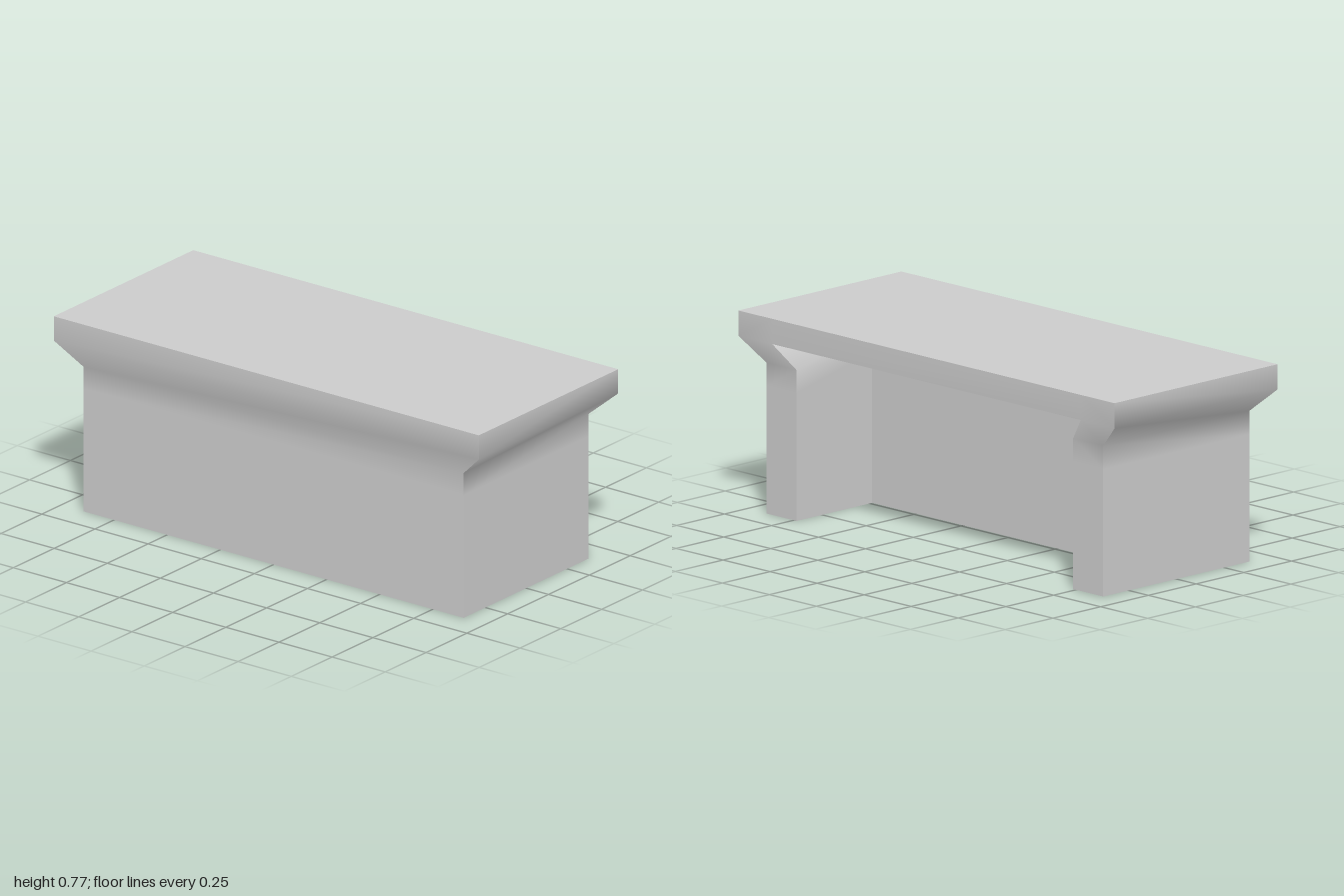
import * as THREE from 'three';
import { mergeVertices } from 'three/addons/utils/BufferGeometryUtils.js';

const material = new THREE.MeshStandardMaterial({ color: 0xcccccc });

// Wall profile from floor to top: height, half width, half depth, half width of the rear opening
const rows = [
  { y: 0, x: 0.895, z: 0.383, inner: 0.735 },
  { y: 0.49, x: 0.895, z: 0.383, inner: 0.735 },
  { y: 0.58, x: 0.895, z: 0.383, inner: 0.735 },
  { y: 0.673, x: 1, z: 0.427, inner: 0.82 },
  { y: 0.77, x: 1, z: 0.427, inner: 0.82 },
];
const recessX = 0.735, recessZ = 0.013;

// Mirrors a quad across x, keeping its outward side and its diagonal
const mirror = (quad) => {
  const [a, b, c, d] = quad.map(([x, y, z]) => [-x, y, z]);
  return [a, d, c, b];
};

// One quad per step of the profile
const strip = (profile, quad) => profile.slice(1).map((top, i) => quad(profile[i], top));

// Surface from quads, smooth inside and sharp at its border
function surface(name, quads) {
  const points = quads.flatMap(([a, b, c, d]) => [a, b, c, a, c, d]).flat();
  const raw = new THREE.BufferGeometry();
  raw.setAttribute('position', new THREE.Float32BufferAttribute(points, 3));
  const geometry = mergeVertices(raw);
  geometry.computeVertexNormals();
  const mesh = new THREE.Mesh(geometry, material);
  mesh.name = name;
  return mesh;
}

// Horizontal quad between two depths; it faces up or down
function level(y, zBack, xBack, zFront, xFront, up) {
  const q = [[-xBack, y, zBack], [xBack, y, zBack], [xFront, y, zFront], [-xFront, y, zFront]];
  return up ? q.reverse() : q;
}

export function createModel() {
  const group = new THREE.Group();
  group.name = 'counter';
  const [base, , , rim, top] = rows;
  const opening = rows.slice(0, 4);

  // Outer walls flaring out to the rim
  const front = strip(rows, (l, u) => [[-l.x, l.y, l.z], [l.x, l.y, l.z], [u.x, u.y, u.z], [-u.x, u.y, u.z]]);
  const side = strip(rows, (l, u) => [[l.x, l.y, l.z], [l.x, l.y, -l.z], [u.x, u.y, -u.z], [u.x, u.y, u.z]]);
  group.add(surface('frontPanel', front));
  group.add(surface('leftPanel', side));
  group.add(surface('rightPanel', side.map(mirror)));

  // Rear ends of the side walls, joined by the rim above the opening
  const end = strip(rows, (l, u) => [[l.x, l.y, -l.z], [l.inner, l.y, -l.z], [u.inner, u.y, -u.z], [u.x, u.y, -u.z]]);
  const lintel = [[rim.inner, rim.y, -rim.z], [-rim.inner, rim.y, -rim.z], [-top.inner, top.y, -top.z], [top.inner, top.y, -top.z]];
  group.add(surface('rearFrame', [...end, ...end.map(mirror), lintel]));

  // Recess behind the front wall
  const cheek = strip(opening, (l, u) => [[l.inner, l.y, -l.z], [recessX, l.y, recessZ], [recessX, u.y, recessZ], [u.inner, u.y, -u.z]]);
  group.add(surface('recessLeft', cheek));
  group.add(surface('recessRight', cheek.map(mirror)));
  group.add(surface('recessWall', [[[recessX, 0, recessZ], [-recessX, 0, recessZ], [-recessX, rim.y, recessZ], [recessX, rim.y, recessZ]]]));
  group.add(surface('recessCeiling', [level(rim.y, -rim.z, rim.inner, recessZ, recessX, false)]));

  // Flat top, and the U-shaped underside
  group.add(surface('tabletop', [level(top.y, -top.z, top.x, top.z, top.x, true)]));
  const foot = [[recessX, 0, -base.z], [base.x, 0, -base.z], [base.x, 0, recessZ], [recessX, 0, recessZ]];
  group.add(surface('underside', [foot, mirror(foot), level(0, recessZ, base.x, base.z, base.x, false)]));

  return group;
}
